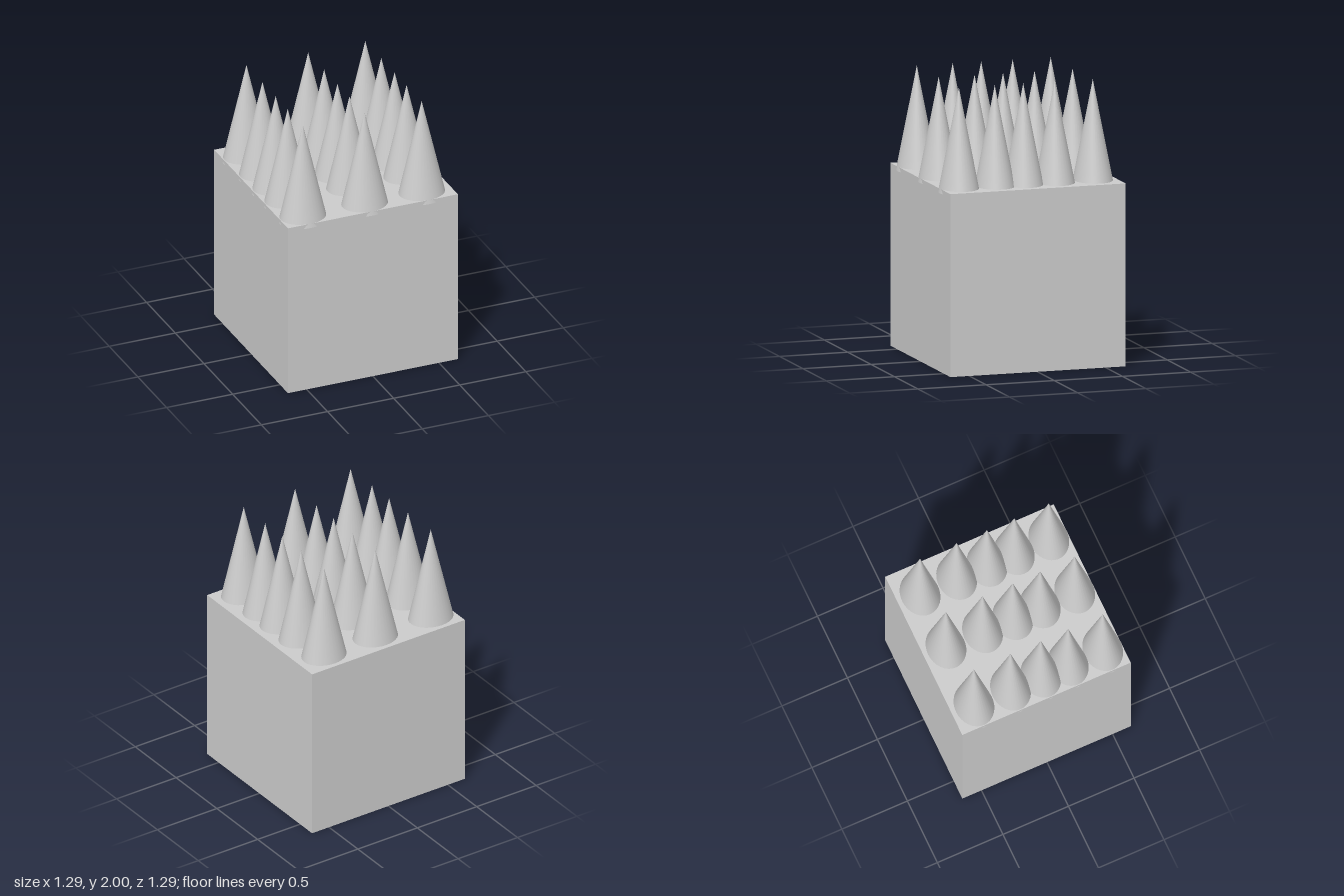
import * as THREE from 'three';

export function createModel() {
  const group = new THREE.Group();
  const material = new THREE.MeshStandardMaterial({ color: 0xcccccc });

  // Solid block
  const block = new THREE.Mesh(new THREE.BoxGeometry(1.285, 1.29, 1.285), material);
  block.name = 'block';
  block.position.set(0, 0.645, -0.004);
  group.add(block);

  // Oval spikes in three columns, their bases sunk slightly into the block
  const base = 1.26;
  const height = 2 - base;
  const spikeGeometry = new THREE.ConeGeometry(1, height, 32);
  spikeGeometry.scale(0.174, 1, 0.142);

  const spikes = new THREE.Group();
  spikes.name = 'spikes';
  for (const x of [-0.471, -0.004, 0.428]) {
    for (const z of [-0.479, -0.2, 0.031, 0.24, 0.503]) {
      const spike = new THREE.Mesh(spikeGeometry, material);
      spike.name = 'spike';
      spike.position.set(x, base + height / 2, z);
      spikes.add(spike);
    }
  }
  group.add(spikes);

  return group;
}
